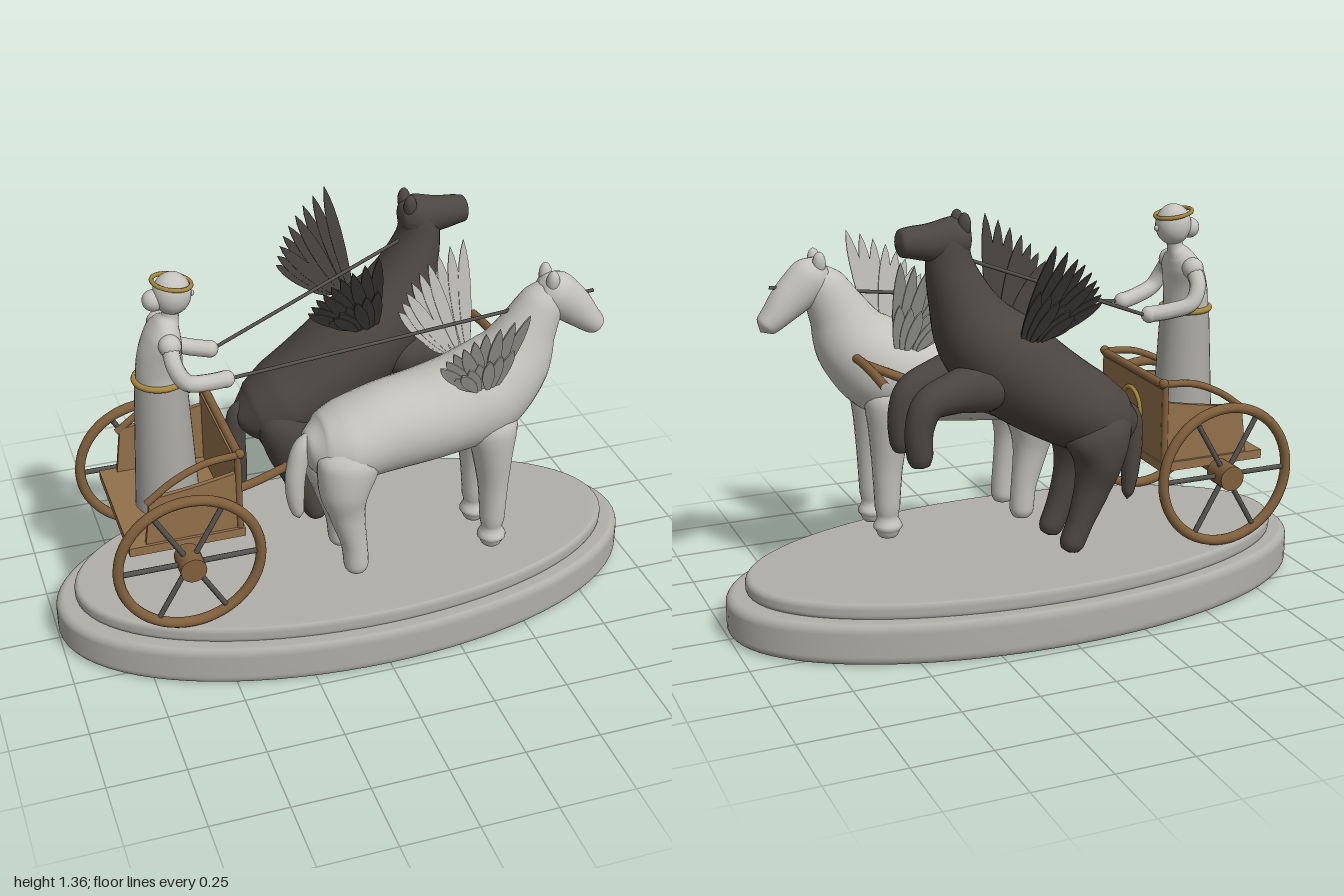
import * as THREE from 'three';

const mat = (name, color, side = THREE.FrontSide) => {
  const m = new THREE.MeshStandardMaterial({ color, side });
  m.name = name;
  return m;
};
const V = (x, y, z = 0) => new THREE.Vector3(x, y, z);

// Smooth body along a path in the xy plane; each row is [x, y, in-plane radius, z radius]
function loft(rows, steps = 40, sides = 24) {
  const path = new THREE.CatmullRomCurve3(rows.map(r => V(r[0], r[1])));
  const size = new THREE.CatmullRomCurve3(rows.map(r => V(r[2], r[3] ?? r[2])));
  const pos = [], idx = [];
  for (let i = 0; i <= steps; i++) {
    const c = path.getPoint(i / steps), s = size.getPoint(i / steps), t = path.getTangent(i / steps);
    const rn = Math.max(s.x, 0.001), rz = Math.max(s.y, 0.001);
    for (let j = 0; j < sides; j++) {
      const a = j / sides * Math.PI * 2, n = rn * Math.cos(a);
      pos.push(c.x - t.y * n, c.y + t.x * n, rz * Math.sin(a));
      if (i < steps) {
        const k = (j + 1) % sides, p = i * sides, q = p + sides;
        idx.push(p + j, p + k, q + j, p + k, q + k, q + j);
      }
    }
  }
  const g = new THREE.BufferGeometry();
  g.setAttribute('position', new THREE.Float32BufferAttribute(pos, 3));
  g.setIndex(idx);
  g.computeVertexNormals();
  return g;
}

const tube = (pts, r, seg = 24) =>
  new THREE.TubeGeometry(new THREE.CatmullRomCurve3(pts.map(p => V(...p))), seg, r, 10);

// Disc with rounded rims, from y0 to y1
function roundDisc(y0, y1, bevel) {
  const p = [new THREE.Vector2(0.0001, y0), new THREE.Vector2(0.96 - bevel, y0)];
  for (let i = 0; i <= 12; i++) {
    const a = -Math.PI / 2 + Math.PI * i / 12;
    const y = a < 0 ? y0 + bevel : y1 - bevel;
    if (i === 6) p.push(new THREE.Vector2(1, y0 + bevel));
    p.push(new THREE.Vector2(1 - bevel + bevel * Math.cos(a), y + bevel * Math.sin(a)));
  }
  p.push(new THREE.Vector2(0.96 - bevel, y1), new THREE.Vector2(0.0001, y1));
  return new THREE.LatheGeometry(p, 80);
}

export function createModel() {
  const M = {
    stone: mat('base stone', 0xb0afa8),
    white: mat('pale marble', 0xc4c3bd),
    robe: mat('robe grey', 0xaaa9a4),
    dark: mat('dark stone', 0x4b4641),
    paleFeather: mat('pale feather', 0xb2b1ac, THREE.DoubleSide),
    darkFeather: mat('dark feather', 0x403d3a, THREE.DoubleSide),
    frame: mat('frame wood', 0x80603c),
    panel: mat('panel wood', 0x92714a),
    gold: mat('gold', 0xa5883c),
    iron: mat('iron', 0x55534f),
  };
  const model = new THREE.Group();
  const add = (name, geo, material, parent = model, x = 0, y = 0, z = 0) => {
    const m = new THREE.Mesh(geo, material);
    m.name = name;
    m.position.set(x, y, z);
    parent.add(m);
    return m;
  };
  const group = (name, parent = model) => {
    const g = new THREE.Group();
    g.name = name;
    parent.add(g);
    return g;
  };

  // Oval two-step base
  add('baseLower', roundDisc(0, 0.135, 0.03), M.stone).scale.set(1, 1, 0.48);
  add('baseUpper', roundDisc(0.13, 0.185, 0.02), M.stone).scale.set(0.935, 1, 0.435);

  // Wheels and axle
  const chariot = group('chariot');
  const bar = (r, len, seg = 20) => new THREE.CylinderGeometry(r, r, len, seg);
  add('axle', bar(0.02, 0.62).rotateX(Math.PI / 2), M.frame, chariot, -0.61, 0.43, 0);
  for (const s of [1, -1]) {
    const wheel = group('wheel', chariot);
    wheel.position.set(-0.61, 0.43, s * 0.305);
    add('rim', new THREE.TorusGeometry(0.229, 0.017, 12, 56), M.frame, wheel);
    add('hub', bar(0.042, 0.095).rotateX(Math.PI / 2), M.frame, wheel);
    for (let i = 0; i < 6; i++) {
      add('spoke', bar(0.009, 0.225, 8).translate(0, 0.1125, 0), M.iron, wheel).rotation.z = Math.PI / 6 + i * Math.PI / 3;
    }
  }

  // Car: floor, front and side panels, curved rails
  add('floor', new THREE.BoxGeometry(0.375, 0.03, 0.47), M.panel, chariot, -0.598, 0.457, 0);
  add('frontPanel', new THREE.BoxGeometry(0.02, 0.25, 0.43), M.panel, chariot, -0.425, 0.595, 0);
  add('frontRail', bar(0.014, 0.44).rotateX(Math.PI / 2), M.frame, chariot, -0.42, 0.735, 0);
  add('frontRing', new THREE.TorusGeometry(0.07, 0.008, 8, 32).rotateY(Math.PI / 2), M.gold, chariot, -0.412, 0.6, 0);
  const side = new THREE.Shape();
  side.moveTo(-0.73, 0.47);
  side.lineTo(-0.42, 0.47);
  side.lineTo(-0.42, 0.68);
  side.quadraticCurveTo(-0.55, 0.65, -0.71, 0.635);
  side.closePath();
  for (const s of [1, -1]) {
    add('sidePanel', new THREE.ExtrudeGeometry(side, { depth: 0.016, bevelEnabled: false }), M.panel, chariot, 0, 0, s * 0.217 - 0.008);
    add('sideRail', tube([[-0.72, 0.62, 0], [-0.63, 0.685, 0], [-0.53, 0.728, 0], [-0.415, 0.74, 0]], 0.012), M.frame, chariot, 0, 0, s * 0.22);
    add('post', bar(0.011, 0.29), M.frame, chariot, -0.425, 0.595, s * 0.22);
    add('railKnob', new THREE.SphereGeometry(0.016, 12, 8), M.frame, chariot, -0.418, 0.742, s * 0.22);
  }

  // Draught pole and yoke
  add('pole', tube([[-0.6, 0.44, 0], [-0.35, 0.468, 0], [-0.11, 0.556, 0], [0.2, 0.7, 0], [0.535, 0.86, 0]], 0.015, 40), M.frame, chariot);
  add('yoke', tube([[0.535, 0.845, -0.23], [0.535, 0.858, -0.12], [0.535, 0.864, 0], [0.535, 0.858, 0.12], [0.535, 0.845, 0.23]], 0.015), M.frame, chariot);

  // Driver
  const driver = group('driver');
  add('robe', new THREE.CylinderGeometry(0.082, 0.105, 0.455, 36), M.robe, driver, -0.607, 0.6975, 0);
  add('belt', new THREE.TorusGeometry(0.08, 0.01, 10, 36).rotateX(Math.PI / 2), M.gold, driver, -0.609, 0.93, 0);
  add('torso', loft([[-0.609, 0.91, 0.075], [-0.609, 0.96, 0.074, 0.078], [-0.603, 1.02, 0.068, 0.088], [-0.59, 1.075, 0.056, 0.1],
    [-0.578, 1.11, 0.042, 0.075], [-0.565, 1.14, 0.027, 0.028], [-0.558, 1.19, 0.025, 0.025]]), M.white, driver);
  add('head', new THREE.SphereGeometry(0.06, 28, 20), M.white, driver, -0.555, 1.216, 0).scale.set(1, 1.14, 0.95);
  add('nose', new THREE.SphereGeometry(0.01, 10, 8), M.white, driver, -0.495, 1.207, 0);
  add('hairBun', new THREE.SphereGeometry(0.034, 18, 14), M.white, driver, -0.615, 1.2, 0);
  add('circlet', new THREE.TorusGeometry(0.061, 0.007, 8, 36).rotateX(Math.PI / 2), M.gold, driver, -0.555, 1.253, 0).rotation.z = -0.18;
  for (const s of [1, -1]) {
    add('arm', tube([[-0.588, 1.085, s * 0.08], [-0.585, 1.03, s * 0.125], [-0.555, 0.977, s * 0.138], [-0.49, 0.955, s * 0.12], [-0.425, 0.945, s * 0.1]], 0.027), M.white, driver);
    add('shoulder', new THREE.SphereGeometry(0.036, 16, 12), M.white, driver, -0.588, 1.08, s * 0.082);
    add('hand', new THREE.SphereGeometry(0.028, 16, 12), M.white, driver, -0.422, 0.945, s * 0.1);
  }

  // Reins
  const rein = (a, b) => add('rein', new THREE.TubeGeometry(new THREE.LineCurve3(V(...a), V(...b)), 1, 0.006, 8), M.iron);
  rein([-0.43, 0.942, 0.1], [0.78, 1.09, 0.165]);
  rein([-0.43, 0.935, -0.1], [0.44, 1.28, -0.18]);

  // Wing: two layered fans of pointed feathers
  const feather = new THREE.Shape();
  feather.moveTo(-0.008, 0);
  feather.bezierCurveTo(-0.07, 0.35, -0.075, 0.8, 0, 1);
  feather.bezierCurveTo(0.06, 0.8, 0.06, 0.35, 0.008, 0);
  const featherGeo = new THREE.ExtrudeGeometry(feather, { depth: 0.005, bevelEnabled: false, curveSegments: 8 });
  function wing(parent, s, x, y, z, start, material) {
    const w = group('wing', parent);
    w.position.set(x, y, s * z);
    w.rotation.x = s * 0.46;
    for (const [count, scale, lift] of [[9, 1, 0], [7, 0.55, 0.008]]) {
      for (let i = 0; i < count; i++) {
        const k = i / (count - 1), len = (0.37 - 0.16 * k) * scale;
        const f = add('feather', featherGeo, material, w, -0.075 * k, 0.01 * k, s * (lift + 0.003 * (i % 3)));
        f.rotation.z = start + k * 0.82;
        f.scale.set(0.36 + 0.06 * scale, len, 1);
      }
    }
  }

  // Horse from lofted parts
  function horse(name, z, d, material, featherMaterial) {
    const h = group(name);
    h.position.z = z;
    add('bodyAndNeck', loft(d.body, 60, 32), material, h);
    add('head', loft(d.head, 32), material, h);
    add('tail', loft(d.tail, 28, 14), material, h);
    const frontLeg = loft(d.front, 36, 20), hindLeg = loft(d.hind, 36, 20);
    for (const s of [1, -1]) {
      add('frontLeg', frontLeg, material, h, 0, 0, s * 0.08);
      add('hindLeg', hindLeg, material, h, 0, 0, s * 0.083);
      const ear = add('ear', new THREE.SphereGeometry(0.024, 14, 10), material, h, d.ear[0], d.ear[1], s * 0.029);
      ear.scale.set(0.9, 1.7, 0.9);
      ear.rotation.x = s * 0.12;
      wing(h, s, ...d.wing, featherMaterial);
    }
  }

  horse('paleHorse', 0.165, {
    body: [[-0.2, 0.69, 0.001], [-0.185, 0.69, 0.05, 0.06], [-0.14, 0.685, 0.1, 0.115], [-0.06, 0.69, 0.128, 0.15], [0.08, 0.718, 0.145, 0.152],
      [0.25, 0.745, 0.15, 0.163], [0.39, 0.785, 0.158, 0.162], [0.5, 0.88, 0.135, 0.13], [0.56, 0.995, 0.095, 0.088],
      [0.605, 1.085, 0.07, 0.066], [0.635, 1.135, 0.03, 0.04]],
    head: [[0.59, 1.145, 0.001], [0.6, 1.14, 0.04, 0.04], [0.645, 1.105, 0.072, 0.062], [0.715, 1.045, 0.062, 0.056], [0.765, 0.995, 0.046, 0.049],
      [0.795, 0.967, 0.036, 0.04], [0.812, 0.95, 0.001]],
    tail: [[-0.15, 0.73, 0.02], [-0.195, 0.69, 0.033], [-0.222, 0.6, 0.034], [-0.225, 0.51, 0.03], [-0.217, 0.445, 0.02], [-0.212, 0.42, 0.001]],
    front: [[0.41, 0.78, 0.04], [0.415, 0.7, 0.085, 0.08], [0.422, 0.6, 0.067, 0.072], [0.43, 0.47, 0.05, 0.052], [0.433, 0.32, 0.041],
      [0.433, 0.26, 0.041], [0.433, 0.236, 0.03], [0.433, 0.226, 0.001]],
    hind: [[-0.06, 0.74, 0.04], [-0.07, 0.66, 0.105, 0.08], [-0.085, 0.56, 0.085, 0.078], [-0.077, 0.47, 0.06, 0.056], [-0.052, 0.34, 0.043],
      [-0.045, 0.26, 0.041], [-0.043, 0.236, 0.03], [-0.043, 0.226, 0.001]],
    ear: [0.622, 1.157],
    wing: [0.4, 0.865, 0.11, -0.1],
  }, M.white, M.paleFeather);

  horse('darkHorse', -0.18, {
    body: [[-0.33, 0.6, 0.001], [-0.31, 0.61, 0.05, 0.06], [-0.25, 0.63, 0.105, 0.12], [-0.16, 0.67, 0.135, 0.155], [-0.02, 0.755, 0.15, 0.165],
      [0.11, 0.855, 0.16, 0.168], [0.215, 0.965, 0.138, 0.15], [0.275, 1.09, 0.098, 0.105], [0.307, 1.2, 0.073, 0.075],
      [0.307, 1.28, 0.06, 0.062], [0.3, 1.32, 0.03, 0.03]],
    head: [[0.235, 1.28, 0.001], [0.248, 1.28, 0.04, 0.04], [0.29, 1.272, 0.07, 0.064], [0.37, 1.268, 0.058, 0.056], [0.43, 1.272, 0.049, 0.05],
      [0.463, 1.272, 0.042, 0.045], [0.48, 1.272, 0.001]],
    tail: [[-0.27, 0.68, 0.02], [-0.318, 0.635, 0.035], [-0.328, 0.55, 0.034], [-0.322, 0.45, 0.03], [-0.315, 0.37, 0.02], [-0.312, 0.345, 0.001]],
    front: [[0.14, 0.83, 0.04], [0.22, 0.825, 0.085, 0.075], [0.33, 0.81, 0.065, 0.062], [0.41, 0.78, 0.052, 0.052], [0.44, 0.71, 0.045, 0.046],
      [0.44, 0.62, 0.041], [0.437, 0.592, 0.03], [0.436, 0.582, 0.001]],
    hind: [[-0.14, 0.72, 0.04], [-0.16, 0.62, 0.115, 0.088], [-0.165, 0.53, 0.083, 0.084], [-0.145, 0.44, 0.06, 0.058], [-0.1, 0.32, 0.043],
      [-0.075, 0.26, 0.041], [-0.067, 0.236, 0.03], [-0.064, 0.226, 0.001]],
    ear: [0.268, 1.316],
    wing: [0.12, 0.955, 0.115, 0.12],
  }, M.dark, M.darkFeather);

  return model;
}
